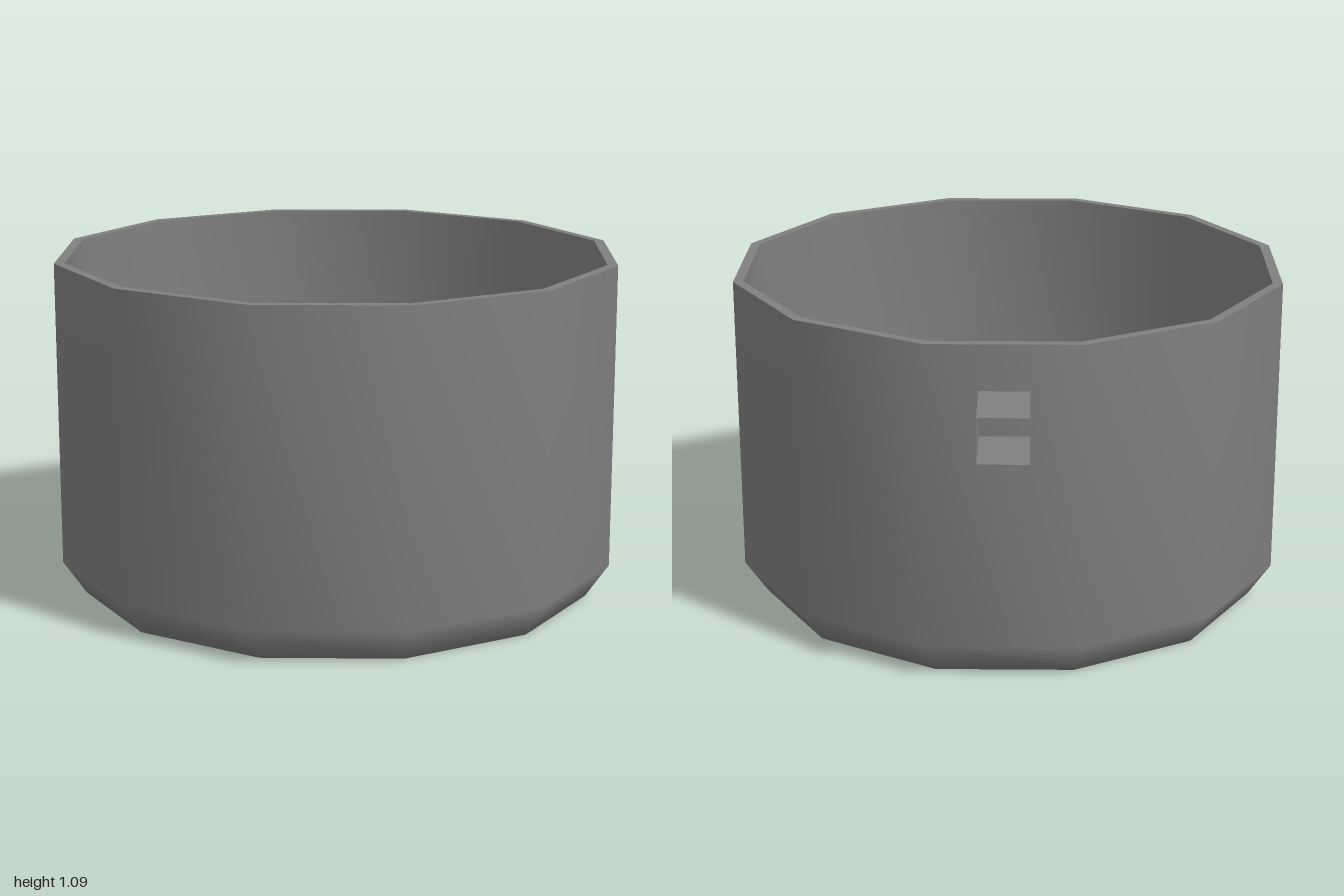
import * as THREE from 'three';
import { mergeVertices } from 'three/addons/utils/BufferGeometryUtils.js';

const SIDES = 12;
const HEIGHT = 1.09;
const CENTRE_Z = 0.118;
// Corner radius of a twelve-sided ring whose flats lie at the given distance
const corner = (flat) => flat / Math.cos(Math.PI / SIDES);

// Twelve-sided surface of revolution with welded, smooth normals
function ring(profile) {
  const points = profile.map(([flat, y]) => new THREE.Vector2(corner(flat), y));
  const lathe = new THREE.LatheGeometry(points, SIDES, Math.PI / SIDES);
  lathe.deleteAttribute('uv');
  lathe.deleteAttribute('normal');
  const geometry = mergeVertices(lathe);
  geometry.computeVertexNormals();
  return geometry;
}

export function createModel() {
  const model = new THREE.Group();
  model.name = 'pot';
  const grey = new THREE.MeshStandardMaterial({ color: 0x808080, side: THREE.DoubleSide });
  grey.name = 'grey metal';

  const add = (name, geometry, z) => {
    const mesh = new THREE.Mesh(geometry, grey);
    mesh.name = name;
    mesh.position.z = z;
    model.add(mesh);
    return mesh;
  };

  // Pot: outside with chamfered base, flat rim, straight inside and floor
  add('outerShell', ring([[0, 0], [0.81, 0], [0.882, 0.11], [0.882, HEIGHT]]), CENTRE_Z);
  add('rim', ring([[0.882, HEIGHT], [0.85, HEIGHT]]), CENTRE_Z);
  add('innerWall', ring([[0.85, HEIGHT], [0.85, 0.1]]), CENTRE_Z);
  add('innerFloor', ring([[0.85, 0.1], [0, 0.1]]), CENTRE_Z);

  // Handle socket: a square sleeve, so only the four long sides of the box are kept
  const sleeve = new THREE.BoxGeometry(0.154, 0.142, 0.236);
  sleeve.setIndex(Array.from(sleeve.index.array.slice(0, 24)));
  sleeve.clearGroups();
  add('handleSocket', sleeve, -0.882).position.y = 0.874;

  return model;
}
